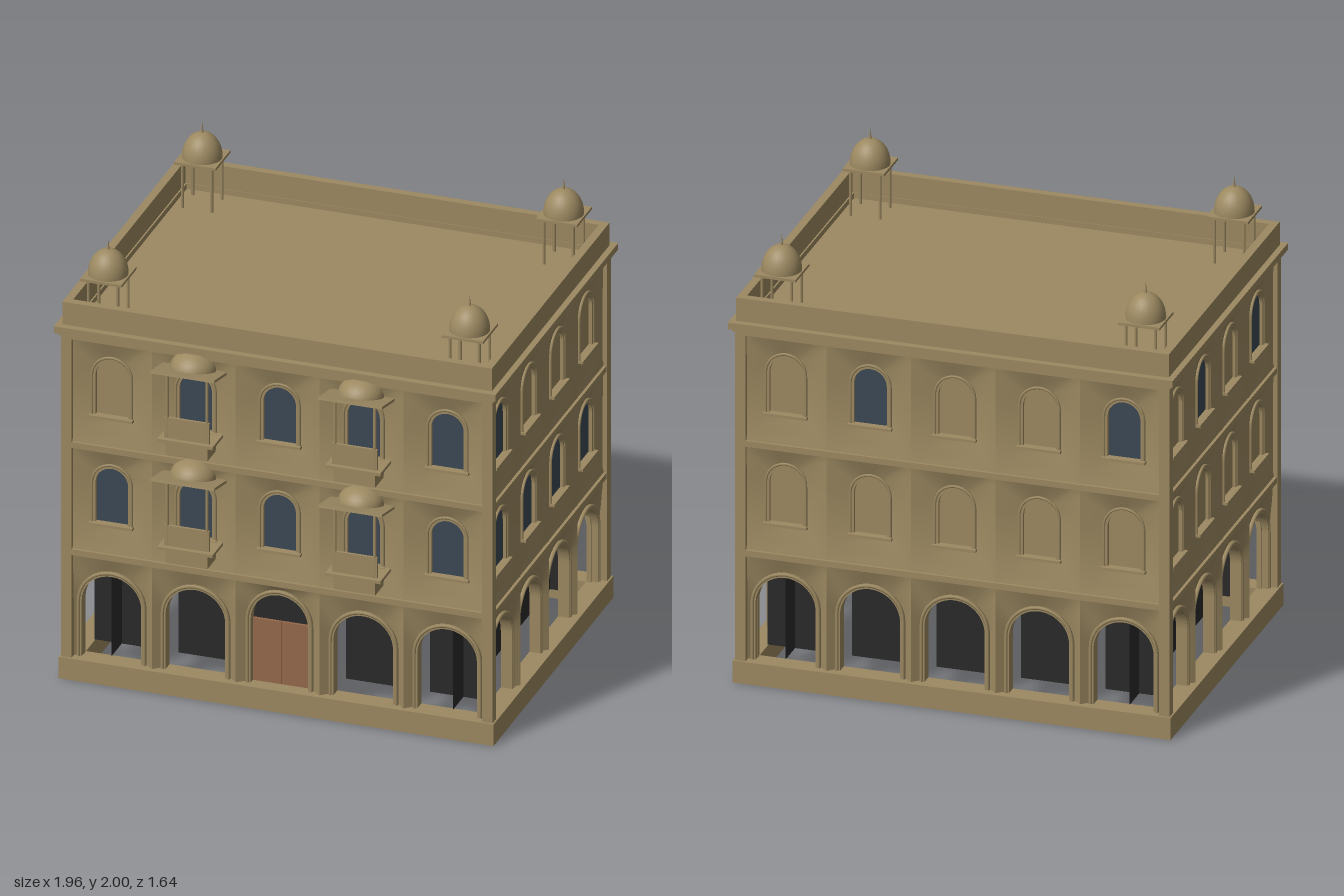
import * as THREE from 'three';

const mat = (name, color, side = THREE.DoubleSide) => {
  const m = new THREE.MeshStandardMaterial({ color, side });
  m.name = name;
  return m;
};
const stone = mat('sandstone', 0x9c8961);
const glass = mat('blue glass', 0x3b4854);
const dark = mat('dark interior', 0x2a2a2a);
const wood = mat('door wood', 0x96694c);

const CZ = -0.05; // centre of the building in z

function add(parent, name, geo, material, x = 0, y = 0, z = 0) {
  const m = new THREE.Mesh(geo, material);
  m.name = name;
  m.position.set(x, y, z);
  parent.add(m);
  return m;
}

// box given by its size and bottom height
const box = (parent, name, w, h, d, x, y0, z, material = stone) =>
  add(parent, name, new THREE.BoxGeometry(w, h, d), material, x, y0 + h / 2, z);

// hollow rectangular band around the building
function band(parent, name, hx, hz, t, y0, y1) {
  const g = new THREE.Group();
  g.name = name;
  for (const s of [-1, 1]) {
    box(g, name + 'Long', hx * 2, y1 - y0, t, 0, y0, CZ + s * (hz - t / 2));
    box(g, name + 'Short', t, y1 - y0, hz * 2 - t * 2, s * (hx - t / 2), y0, CZ);
  }
  parent.add(g);
}

// filled round-headed shape
function archShape(w, y0, spring) {
  const s = new THREE.Shape();
  s.moveTo(-w / 2, y0);
  s.lineTo(w / 2, y0);
  s.lineTo(w / 2, spring);
  s.absarc(0, spring, w / 2, 0, Math.PI, false);
  return s;
}

// round-headed surround, open at the bottom
function surround(wo, wi, y0, spring, depth) {
  const s = new THREE.Shape();
  s.moveTo(-wo / 2, y0);
  s.lineTo(-wo / 2, spring);
  s.absarc(0, spring, wo / 2, Math.PI, 0, true);
  s.lineTo(wo / 2, y0);
  s.lineTo(wi / 2, y0);
  s.lineTo(wi / 2, spring);
  s.absarc(0, spring, wi / 2, 0, Math.PI, false);
  s.lineTo(-wi / 2, y0);
  return new THREE.ExtrudeGeometry(s, { depth, bevelEnabled: false, curveSegments: 16 });
}

// outline points of an arch, clockwise from the bottom left, paired with the bay rectangle
function bayOutline(w, y0, spring, W, Y0, Y1) {
  const inner = [[-w / 2, y0]], outer = [[-W / 2, Y0]];
  const n = 16;
  for (let i = 0; i <= n; i++) {
    const a = Math.PI * (1 - i / n), t = i / n;
    inner.push([Math.cos(a) * w / 2, spring + Math.sin(a) * w / 2]);
    if (t <= 0.25) outer.push([-W / 2, spring + (Y1 - spring) * t * 4]);
    else if (t >= 0.75) outer.push([W / 2, spring + (Y1 - spring) * (1 - t) * 4]);
    else outer.push([W * (t - 0.5) * 2, Y1]);
  }
  inner.push([w / 2, y0]);
  outer.push([W / 2, Y0]);
  return { inner, outer };
}

// wall of one bay, sloping back from its edges to the opening
function bayWall({ inner, outer }, depth, closed) {
  const pos = [], idx = [], n = inner.length, rows = 2;
  for (let r = 0; r <= rows; r++)
    for (let i = 0; i < n; i++) {
      const t = r / rows;
      pos.push(outer[i][0] + (inner[i][0] - outer[i][0]) * t,
        outer[i][1] + (inner[i][1] - outer[i][1]) * t, -depth * t);
    }
  for (let r = 0; r < rows; r++)
    for (let i = 0; i < (closed ? n : n - 1); i++) {
      const j = (i + 1) % n, o = r * n, p = o + n;
      idx.push(p + i, p + j, o + j, p + i, o + j, o + i);
    }
  const g = new THREE.BufferGeometry();
  g.setAttribute('position', new THREE.Float32BufferAttribute(pos, 3));
  g.setIndex(idx);
  g.computeVertexNormals();
  return g;
}

// rounded moulding that follows the outer edge of an arch
function moulding(w, y0, spring, r) {
  const { inner } = bayOutline(w, y0, spring, 1, 0, 1);
  const path = new THREE.CurvePath();
  const v = inner.map(p => new THREE.Vector3(p[0], p[1], 0));
  for (let i = 1; i < v.length; i++) path.add(new THREE.LineCurve3(v[i - 1], v[i]));
  return new THREE.TubeGeometry(path, 48, r, 6, false);
}

function groundBay(parent, x, W, isDoor) {
  const g = new THREE.Group();
  g.name = isDoor ? 'doorBay' : 'arcadeBay';
  g.position.x = x;
  parent.add(g);
  const [wo, wi, spring] = isDoor ? [0.295, 0.253, 0.398] : [0.305, 0.264, 0.357];
  add(g, 'arcadeWall', bayWall(bayOutline(wo, 0.1, spring, W, 0.1, 0.59), 0.03, false), stone);
  add(g, 'archSurround', surround(wo, wi, 0.1, spring, 0.05), stone, 0, 0, -0.07);
  add(g, 'archMoulding', moulding(wo - 0.012, 0.1, spring, 0.008), stone, 0, 0, -0.022);
  if (isDoor) {
    add(g, 'doorFanlight', new THREE.ShapeGeometry(archShape(wi, 0.1, spring), 16), dark, 0, 0, -0.06);
    for (const s of [-1, 1]) box(g, 'doorLeaf', wi / 2 - 0.002, 0.29, 0.012, s * wi / 4, 0.1, -0.052, wood);
  } else {
    add(g, 'innerScreen', new THREE.PlaneGeometry(0.27, 0.4), dark, 0, 0.3, -0.187);
  }
}

function windowBay(parent, x, W, y, top, glazed) {
  const g = new THREE.Group();
  g.name = 'windowBay';
  g.position.set(x, y, 0);
  parent.add(g);
  const y0 = 0.14, spring = 0.328;
  add(g, 'bayWall', bayWall(bayOutline(0.184, y0, spring, W, 0, top), 0.03, true), stone);
  add(g, 'windowFrame', surround(0.184, 0.144, y0, spring, 0.025), stone, 0, 0, -0.05);
  add(g, 'windowMoulding', moulding(0.176, y0, spring, 0.006), stone, 0, 0, -0.025);
  add(g, 'windowPane', new THREE.ShapeGeometry(archShape(0.15, y0, spring), 16), glazed ? glass : stone, 0, 0, -0.04);
  box(g, 'windowSill', 0.194, 0.012, 0.04, 0, 0.133, -0.025);
}

function balcony(parent, x, y) {
  const g = new THREE.Group();
  g.name = 'balcony';
  g.position.set(x, y, 0);
  parent.add(g);
  box(g, 'balconyCorbel', 0.185, 0.066, 0.12, 0, 0.064, 0.03);
  box(g, 'balconyFloor', 0.246, 0.014, 0.14, 0, 0.13, 0.04);
  box(g, 'balconyParapet', 0.2, 0.095, 0.012, 0, 0.144, 0.083);
  for (const s of [-1, 1]) {
    add(g, 'balconyPost', new THREE.CylinderGeometry(0.007, 0.007, 0.31, 8), stone, s * 0.088, 0.295, 0.083);
  }
  const canopy = box(g, 'balconyCanopy', 0.284, 0.012, 0.165, 0, 0.444, 0.063);
  canopy.rotation.x = -0.21;
  const dome = new THREE.SphereGeometry(0.1, 20, 8, 0, Math.PI, 0, Math.PI / 2);
  add(g, 'balconyHalfDome', dome, stone, 0, 0.445, 0).scale.y = 0.78;
}

// one side of the building; the lists say which windows are glazed
function facade(root, name, angle, dist, n, width, upper, middle, front) {
  const g = new THREE.Group();
  g.name = name;
  g.position.set(Math.sin(angle) * dist, 0, CZ + Math.cos(angle) * dist);
  g.rotation.y = angle;
  root.add(g);
  const W = width / n;
  for (let i = 0; i < n; i++) {
    const x = (i - (n - 1) / 2) * W;
    groundBay(g, x, W, front && i === 2);
    windowBay(g, x, W, 0.59, 0.5, middle[i]);
    windowBay(g, x, W, 1.09, 0.51, upper[i]);
    if (front && i % 2) for (const y of [0.588, 1.09]) balcony(g, x, y);
  }
  for (const [y, h] of [[0.578, 0.027], [1.077, 0.027], [1.583, 0.03]])
    box(g, 'stringCourse', width - 0.04, h, 0.04, 0, y, -0.01);
}

// small domed pavilion on the roof corner
function pavilion(root, x, z) {
  const g = new THREE.Group();
  g.name = 'roofPavilion';
  g.position.set(x, 0, z);
  root.add(g);
  for (const a of [-1, 1]) for (const b of [-1, 1])
    add(g, 'pavilionPost', new THREE.CylinderGeometry(0.007, 0.007, 0.21, 8), stone, a * 0.065, 1.725, b * 0.065);
  box(g, 'pavilionEave', 0.184, 0.012, 0.184, 0, 1.828, 0);
  const dome = new THREE.SphereGeometry(0.086, 24, 10, 0, Math.PI * 2, 0, Math.PI / 2);
  add(g, 'pavilionDome', dome, stone, 0, 1.84, 0).scale.y = 1.3;
  add(g, 'pavilionFinial', new THREE.ConeGeometry(0.007, 0.055, 8), stone, 0, 1.9725, 0);
}

export function createModel() {
  const root = new THREE.Group();
  root.name = 'arcadedBuilding';

  // base, cornice, parapet and roof
  band(root, 'plinth', 0.965, 0.75, 0.09, 0, 0.1);
  band(root, 'corniceLower', 0.967, 0.752, 0.06, 1.6, 1.617);
  band(root, 'cornice', 0.98, 0.768, 0.07, 1.615, 1.645);
  band(root, 'parapet', 0.953, 0.737, 0.036, 1.645, 1.75);
  box(root, 'roof', 1.86, 0.02, 1.43, 0, 1.6, CZ);

  // corner piers
  for (const a of [-1, 1]) for (const b of [-1, 1])
    box(root, 'cornerPier', 0.046, 1.5, 0.046, a * 0.934, 0.1, CZ + b * 0.717);

  // four sides
  const q = Math.PI / 2;
  facade(root, 'frontFacade', 0, 0.73, 5, 1.862, [0, 1, 1, 1, 1], [1, 1, 1, 1, 1], true);
  facade(root, 'rightFacade', q, 0.945, 4, 1.433, [1, 0, 0, 0], [1, 1, 1, 1], false);
  facade(root, 'backFacade', 2 * q, 0.73, 5, 1.862, [0, 1, 0, 0, 1], [0, 0, 0, 0, 0], false);
  facade(root, 'leftFacade', -q, 0.945, 4, 1.433, [0, 1, 0, 1], [0, 0, 0, 0], false);

  // roof pavilions
  for (const a of [-1, 1]) for (const b of [-1, 1]) pavilion(root, a * 0.802, CZ + b * 0.588);
  return root;
}
